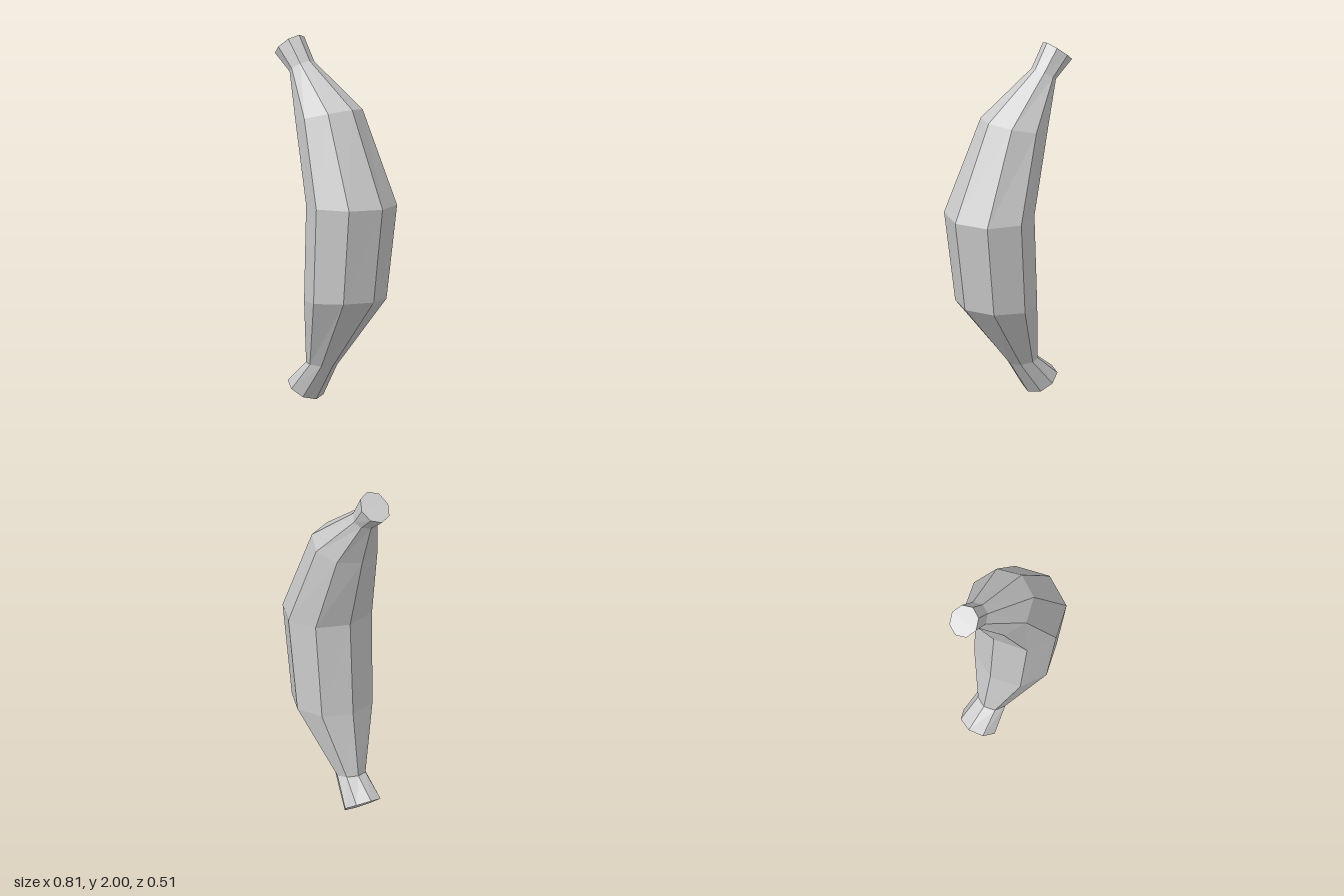
import * as THREE from 'three';

// Rings from bottom to top: inner edge, centre, outer edge (x, y) and half depth
const rings = [
  { inner: [-0.29, 0.115], mid: [-0.20, 0.06], outer: [-0.12, 0.0], depth: 0.11 },
  { inner: [-0.16, 0.215], mid: [-0.08, 0.205], outer: [0.01, 0.195], depth: 0.085 },
  { inner: [-0.105, 0.57], mid: [0.10, 0.575], outer: [0.335, 0.585], depth: 0.23 },
  { inner: [-0.075, 1.105], mid: [0.15, 1.105], outer: [0.405, 1.105], depth: 0.257 },
  { inner: [-0.20, 1.54], mid: [-0.02, 1.58], outer: [0.165, 1.63], depth: 0.185 },
  { inner: [-0.29, 1.79], mid: [-0.235, 1.825], outer: [-0.17, 1.865], depth: 0.075 },
  { inner: [-0.405, 1.875], mid: [-0.33, 1.935], outer: [-0.255, 2.0], depth: 0.085 },
];

export function createModel() {
  const group = new THREE.Group();
  group.name = 'banana';

  // Eight-sided closed tube, each row of vertices moved onto its ring
  const rows = rings.length - 1;
  const tube = new THREE.CylinderGeometry(1, 1, 1, 8, rows);
  const pos = tube.attributes.position;
  for (let i = 0; i < pos.count; i++) {
    const ring = rings[Math.round((pos.getY(i) + 0.5) * rows)];
    const side = pos.getX(i);
    const edge = side > 0 ? ring.outer : ring.inner;
    const t = Math.abs(side);
    pos.setXYZ(
      i,
      THREE.MathUtils.lerp(ring.mid[0], edge[0], t),
      THREE.MathUtils.lerp(ring.mid[1], edge[1], t),
      pos.getZ(i) * ring.depth
    );
  }
  const geometry = tube.toNonIndexed();
  geometry.computeVertexNormals();

  // Fruit body with stem and tip in one skin
  const body = new THREE.Mesh(
    geometry,
    new THREE.MeshStandardMaterial({ color: 0xcccccc, flatShading: true })
  );
  body.name = 'bananaBody';
  group.add(body);
  return group;
}
